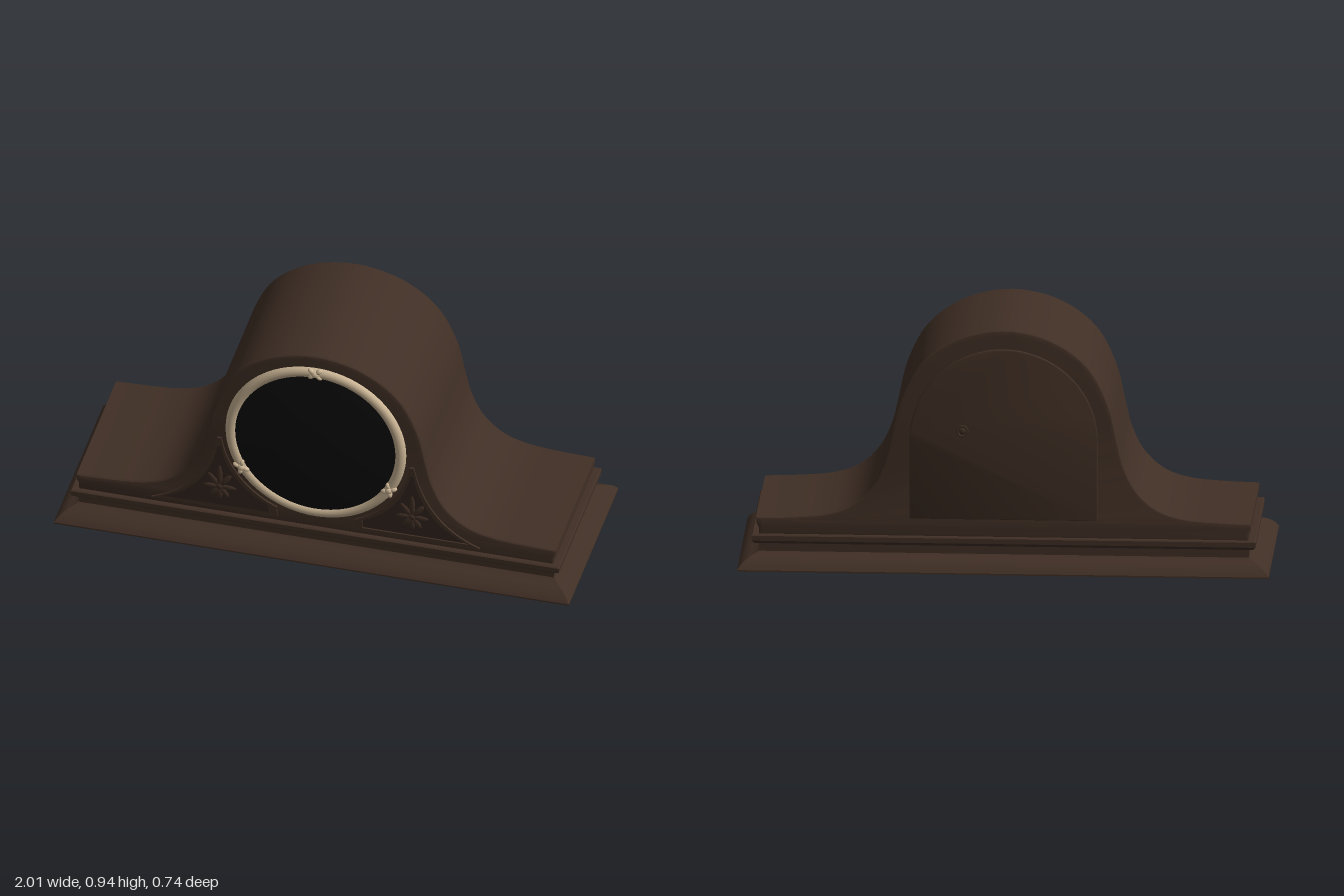
import * as THREE from 'three';
import { toCreasedNormals } from 'three/addons/utils/BufferGeometryUtils.js';

const V2 = (x, y) => new THREE.Vector2(x, y);
const DIAL_Y = 0.535;

export function createModel() {
  const wood = new THREE.MeshStandardMaterial({ name: 'walnut', color: 0x402f25 });
  const darkWood = new THREE.MeshStandardMaterial({ name: 'dark walnut', color: 0x33251d });
  const cream = new THREE.MeshStandardMaterial({ name: 'cream', color: 0xcbb595 });
  const black = new THREE.MeshStandardMaterial({ name: 'black glass', color: 0x0a0a0a });

  const model = new THREE.Group();
  model.name = 'mantelClock';
  const add = (parent, name, geometry, material, x = 0, y = 0, z = 0) => {
    const mesh = new THREE.Mesh(geometry, material);
    mesh.name = name;
    mesh.position.set(x, y, z);
    parent.add(mesh);
    return mesh;
  };
  const extrude = (shape, depth, bevel = 0, bevelDepth = bevel) => toCreasedNormals(
    new THREE.ExtrudeGeometry(shape, {
      depth, bevelEnabled: bevel > 0, bevelSize: bevel, bevelOffset: -bevel,
      bevelThickness: bevelDepth, bevelSegments: 2, curveSegments: 32,
    }), 0.4);

  // Moulded plinth: a square lathe stretched along x so the corners stay mitred
  const profile = [
    [0.0001, 0], [0.37, 0], [0.37, 0.006], [0.36, 0.02], [0.345, 0.034], [0.325, 0.047],
    [0.298, 0.058], [0.293, 0.062], [0.293, 0.096], [0.307, 0.096], [0.319, 0.108],
    [0.319, 0.127], [0.315, 0.131], [0.0001, 0.131],
  ].map(([r, y]) => V2(r * Math.SQRT2, y));
  const plinth = new THREE.LatheGeometry(profile, 4, Math.PI / 4);
  const p = plinth.attributes.position;
  for (let i = 0; i < p.count; i++) p.setX(i, p.getX(i) + Math.sign(p.getX(i)) * 0.633);
  plinth.deleteAttribute('normal');
  add(model, 'plinth', toCreasedNormals(plinth, 0.5), wood);

  // Humped case, mirrored from one half of its outline
  const half = [
    [0.933, 0.194], [0.8, 0.199], [0.68, 0.21], [0.58, 0.243], [0.5, 0.315], [0.453, 0.41],
    [0.43, 0.5], [0.393, 0.655], [0.315, 0.8], [0.178, 0.9], [0, 0.938],
  ];
  const hump = half.concat(half.slice(0, -1).reverse().map(([x, y]) => [-x, y]));
  const curve = new THREE.SplineCurve(hump.map(([x, y]) => V2(x, y)));
  const caseShape = new THREE.Shape([
    V2(-0.933, 0.17), V2(-0.925, 0.155), V2(-0.925, 0.125),
    V2(0.925, 0.125), V2(0.925, 0.155), V2(0.933, 0.17), ...curve.getPoints(100),
  ]);
  add(model, 'case', extrude(caseShape, 0.586, 0.014, 0.007), wood, 0, 0, -0.293);

  // Arched back door with a small pull
  const door = new THREE.Shape();
  door.moveTo(-0.355, 0.2);
  door.lineTo(0.355, 0.2);
  door.lineTo(0.355, 0.51);
  door.absarc(0, 0.51, 0.355, 0, Math.PI, false);
  door.closePath();
  add(model, 'backDoor', extrude(door, 0.012, 0.004), wood, 0, 0, -0.306);
  const pull = add(model, 'doorPull', new THREE.SphereGeometry(0.013, 16, 10), wood, 0.155, 0.545, -0.309);
  pull.scale.z = 0.4;
  const pullRing = add(model, 'doorPullRing', new THREE.TorusGeometry(0.019, 0.004, 8, 20), wood, 0.155, 0.545, -0.31);
  pullRing.scale.y = 1.05;

  // Dial: domed black glass in a cream bezel
  const dial = new THREE.Group();
  dial.name = 'dial';
  dial.position.set(0, DIAL_Y, 0.3);
  model.add(dial);
  const dome = [];
  for (let i = 0; i <= 12; i++) {
    const r = 0.318 * (1 - i / 12);
    dome.push(V2(r, 0.009 + 0.031 * (1 - (r / 0.318) ** 2)));
  }
  add(dial, 'glass', new THREE.LatheGeometry(dome, 64).rotateX(Math.PI / 2), black);
  const bezel = add(dial, 'bezel', new THREE.TorusGeometry(0.33, 0.022, 14, 80), cream);
  bezel.scale.z = 0.85;

  // Three carved bows on the bezel
  for (const angle of [90, 210, 330]) {
    const bow = new THREE.Group();
    bow.name = 'bezelBow';
    bow.rotation.z = THREE.MathUtils.degToRad(angle);
    dial.add(bow);
    add(bow, 'bowKnot', new THREE.SphereGeometry(0.016, 16, 10), cream, 0.332, 0, 0.012);
    for (const side of [-1, 1]) {
      for (const edge of [-1, 1]) {
        const lobe = add(bow, 'bowLobe', new THREE.SphereGeometry(0.012, 12, 8), cream,
          0.332 + edge * 0.012, side * 0.014, 0.013);
        lobe.scale.set(0.8, 1.3, 0.9);
        lobe.rotation.z = -side * edge * 0.7;
      }
    }
  }

  // Carved corner panels either side of the dial
  for (const side of [-1, 1]) {
    const panel = new THREE.Group();
    panel.name = side > 0 ? 'leftCornerPanel' : 'rightCornerPanel';
    model.add(panel);
    const outline = new THREE.Path();
    outline.moveTo(0.15, 0.153);
    outline.lineTo(0.64, 0.153);
    outline.quadraticCurveTo(0.43, 0.23, 0.383, 0.485);
    outline.lineTo(0.366, 0.485);
    outline.absarc(0, DIAL_Y, 0.37, -0.14, -1.15, true);
    const points = outline.getPoints(20);
    const scaled = (k) => points.map((q) =>
      V2(side * (0.37 + (q.x - 0.37) * k), 0.23 + (q.y - 0.23) * k));
    const frame = new THREE.Shape(scaled(1));
    frame.holes.push(new THREE.Path(scaled(0.85)));
    add(panel, 'panelFrame', extrude(frame, 0.009), wood, 0, 0, 0.299);
    add(panel, 'panelField', extrude(new THREE.Shape(scaled(0.86)), 0.003), darkWood, 0, 0, 0.299);

    // Leaf spray: [angle from upright, length]
    const leaves = [[0, 0.1], [0.65, 0.075], [-0.65, 0.075], [1.6, 0.065], [-1.6, 0.065],
      [2.5, 0.06], [-2.5, 0.06], [Math.PI, 0.06]];
    for (const [angle, length] of leaves) {
      const leaf = add(panel, 'leaf', new THREE.SphereGeometry(1, 12, 8), wood,
        side * 0.375 - Math.sin(angle) * length / 2, 0.25 + Math.cos(angle) * length / 2, 0.301);
      leaf.scale.set(0.012, length / 2, 0.006);
      leaf.rotation.z = angle;
    }
    const boss = add(panel, 'boss', new THREE.SphereGeometry(0.014, 14, 8), wood, side * 0.375, 0.25, 0.302);
    boss.scale.z = 0.5;
  }
  return model;
}
